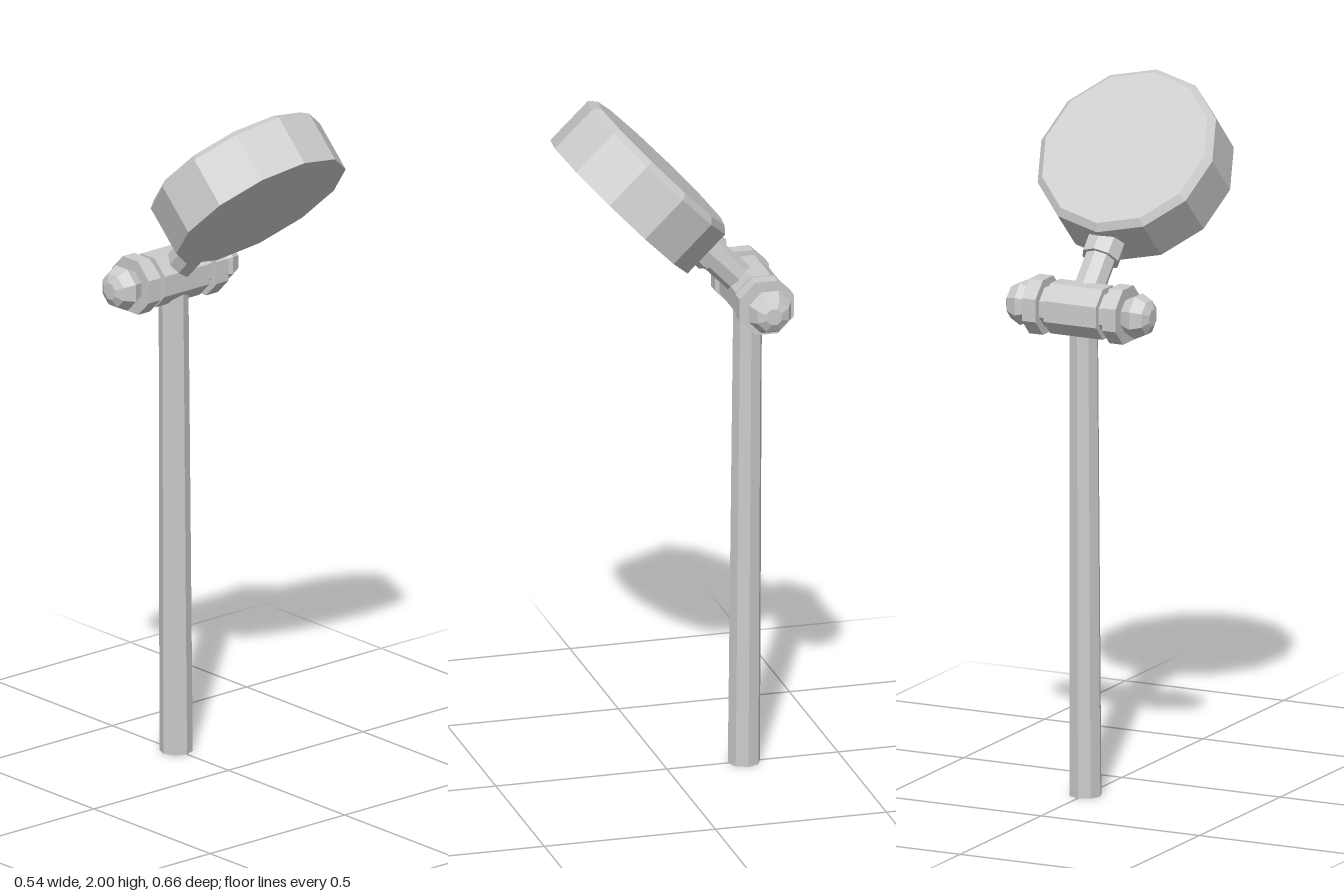
import * as THREE from 'three';

const material = new THREE.MeshStandardMaterial({
  color: 0xcccccc, flatShading: true, side: THREE.DoubleSide,
});

function addMesh(parent, name, geometry) {
  const mesh = new THREE.Mesh(geometry, material);
  mesh.name = name;
  parent.add(mesh);
  return mesh;
}

// Faceted turned part from [radius, height] pairs, bottom to top
function turned(profile, sides, phase = 0) {
  return new THREE.LatheGeometry(profile.map(([r, h]) => new THREE.Vector2(r, h)), sides, phase);
}

export function createModel() {
  const model = new THREE.Group();
  model.name = 'hingedDisc';
  const hingeY = 1.413, hingeZ = -0.25;

  // Pole: open at the bottom, tapered and leaning slightly
  const pole = new THREE.CylinderGeometry(0.042, 0.047, 1.4, 8, 1, true);
  pole.translate(0, 0.7, 0);
  const pos = pole.attributes.position;
  for (let i = 0; i < pos.count; i++) {
    pos.setZ(i, pos.getZ(i) - 0.225 - 0.011 * pos.getY(i) / 1.4);
  }
  addMesh(model, 'pole', pole);

  // Hinge: octagonal barrel, collars and end caps along x
  const hinge = new THREE.Group();
  hinge.name = 'hinge';
  hinge.position.set(0, hingeY, hingeZ);
  hinge.rotation.z = -Math.PI / 2;
  model.add(hinge);
  const octagon = (profile) =>
    turned(profile.map(([a, h]) => [a / Math.cos(Math.PI / 8), h]), 8, Math.PI / 8);

  addMesh(hinge, 'barrel', octagon([[0, -0.083], [0.0725, -0.083], [0.0725, 0.083], [0, 0.083]]));
  addMesh(hinge, 'axle', octagon([[0.056, -0.11], [0.056, 0.11]]));
  for (const side of [1, -1]) {
    const end = new THREE.Group();
    end.name = side > 0 ? 'leftEnd' : 'rightEnd';
    end.rotation.z = side > 0 ? 0 : Math.PI;
    hinge.add(end);
    addMesh(end, 'collar', octagon([[0, 0.105], [0.079, 0.105], [0.079, 0.148], [0, 0.148]]));
    addMesh(end, 'endCap', octagon([[0.046, 0.146], [0.061, 0.181], [0.046, 0.213], [0.023, 0.226], [0, 0.226]]));
  }

  // Tilted arm: local z runs from the hinge to the disc
  const arm = new THREE.Group();
  arm.name = 'tiltedArm';
  arm.position.set(0, hingeY, hingeZ);
  arm.rotation.x = THREE.MathUtils.degToRad(-46);
  model.add(arm);

  const neck = addMesh(arm, 'neck', new THREE.CylinderGeometry(0.045, 0.045, 0.24, 8));
  neck.rotation.x = Math.PI / 2;
  neck.position.z = 0.12;
  const neckCollar = addMesh(arm, 'neckCollar', new THREE.CylinderGeometry(0.056, 0.056, 0.065, 8));
  neckCollar.rotation.x = Math.PI / 2;
  neckCollar.position.z = 0.2;

  // Twelve-sided disc with a bevelled back edge
  const disc = addMesh(arm, 'disc',
    turned([[0, -0.079], [0.27, -0.079], [0.27, 0.074], [0.25, 0.092], [0, 0.092]], 12));
  disc.position.z = 0.48;

  return model;
}
